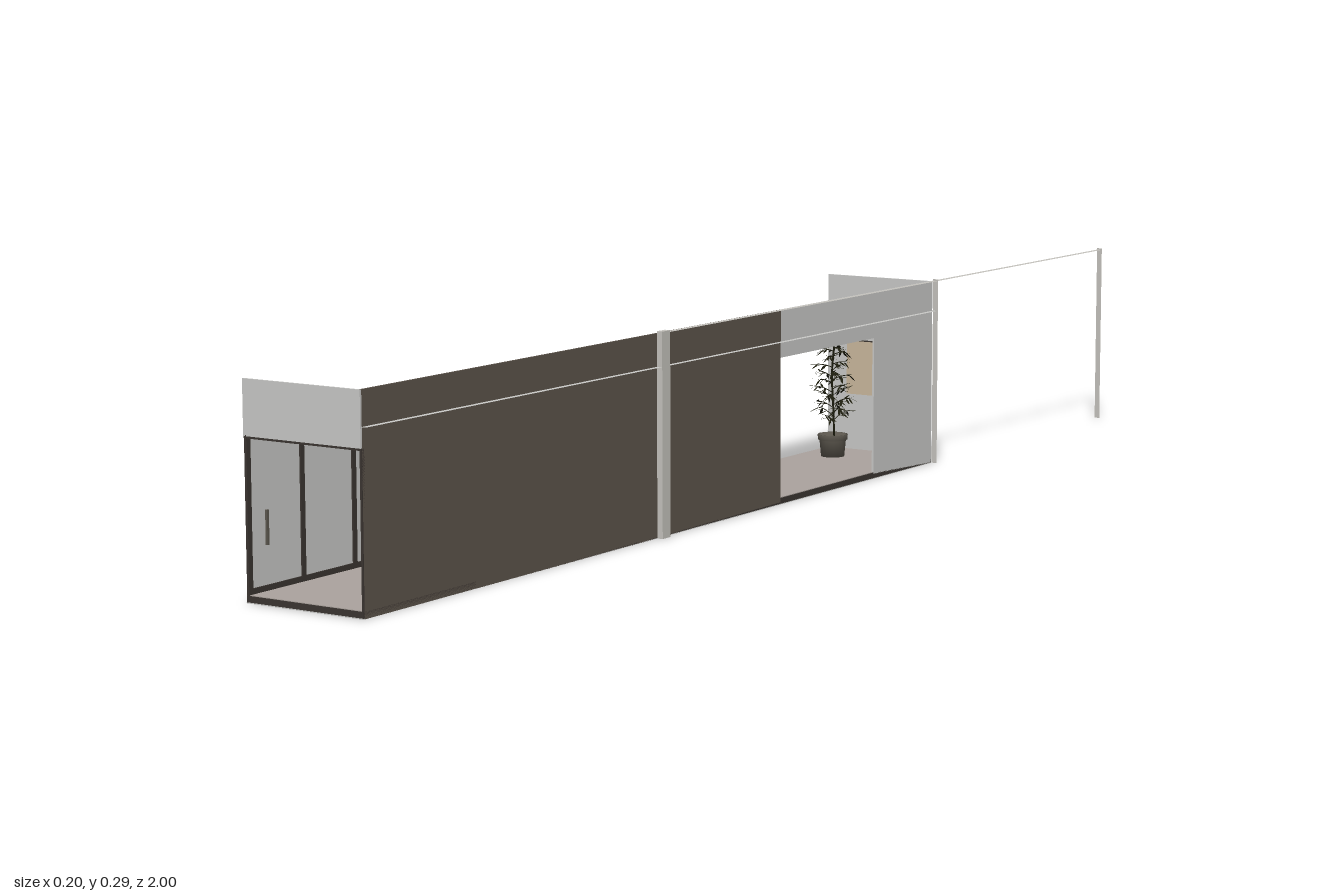
import * as THREE from 'three';
import { mergeGeometries } from 'three/addons/utils/BufferGeometryUtils.js';

const mat = (name, color, double = false) => {
  const m = new THREE.MeshStandardMaterial({ color, side: double ? THREE.DoubleSide : THREE.FrontSide });
  m.name = name;
  return m;
};

export function createModel() {
  const plaster = mat('light grey', 0xc8c8c6, true);
  const cladding = mat('dark brown cladding', 0x5d544b);
  const wood = mat('interior wood', 0x8b6b4d);
  const dark = mat('dark frame', 0x3b3531);
  const flooring = mat('floor beige', 0xaaa29d);
  const metal = mat('pale metal', 0xc4c2bc, true);
  const canvas = mat('picture beige', 0xc9b79c);
  const leafMat = mat('leaf olive', 0x1c1c0d, true);
  const potMat = mat('pot grey brown', 0x5c574e, true);
  const stone = mat('picture grey', 0xaaa9a6);

  const model = new THREE.Group();
  const add = (name, geo, material, parent = model) => {
    const mesh = new THREE.Mesh(geo, material);
    mesh.name = name;
    parent.add(mesh);
    return mesh;
  };
  // box given by its limits on each axis
  const box = (name, material, x0, x1, y0, y1, z0, z1, parent = model) => {
    const mesh = add(name, new THREE.BoxGeometry(x1 - x0, y1 - y0, z1 - z0), material, parent);
    mesh.position.set((x0 + x1) / 2, (y0 + y1) / 2, (z0 + z1) / 2);
    return mesh;
  };

  const L = -0.1, R = 0.09, T = 0.003, H = 0.29, BACK = -0.43;

  // floor slab, its finish and the underside
  box('floorSlab', dark, L, R, 0.001, 0.0095, BACK, 0.999);
  box('floorFinish', flooring, L + 0.001, R - 0.001, 0.0095, 0.0105, BACK, 0.998);
  box('underside', plaster, L, R, 0, 0.001, BACK, 1);

  // roof deck, slightly proud of the walls, and the ceiling below it
  const deck = add('roofDeck', new THREE.PlaneGeometry(0.198, 1.438), plaster);
  deck.rotation.x = -Math.PI / 2;
  deck.position.set(-0.001, 0.243, 0.28);
  const ceiling = add('ceiling', new THREE.PlaneGeometry(R - L - 0.002, 1.428), plaster);
  ceiling.rotation.x = Math.PI / 2;
  ceiling.position.set((L + R) / 2, 0.219, 0.285);
  for (let i = 0; i < 10; i++) {
    const lamp = add('ceilingLight', new THREE.CylinderGeometry(0.004, 0.004, 0.002, 12), dark);
    lamp.position.set(i % 2 ? 0.03 : -0.04, 0.218, -0.3 + Math.floor(i / 2) * 0.27);
  }

  // end walls
  box('backWall', plaster, L, R, 0, H, BACK, BACK + T);
  box('frontFascia', plaster, L, R, 0.216, H, 1 - T, 1);

  // side wall with a through opening
  box('claddingWall', cladding, R - T, R, 0, H, 0.02, 1 - T);
  box('openingHeader', plaster, R - T, R, 0.219, H, -0.25, 0.02);
  box('sidePier', plaster, R - T, R, 0, H, BACK + T, -0.25);

  // opposite wall, open towards the back
  box('farWall', plaster, L, L + T, 0, 0.242, 0.136, 1 - T);

  // interior wood panels with dark dividers, and frames on the far wall
  box('woodLining', wood, R - T - 0.002, R - T, 0.01, 0.218, 0.021, 0.995);
  for (let i = 0; i < 10; i++) {
    const z = 0.095 + i * 0.0945;
    box('panelDivider', dark, R - 0.007, R - 0.005, 0.01, 0.218, z - 0.003, z + 0.003);
  }
  for (let i = 0; i < 9; i++) {
    const z = 0.152 + i * 0.1055;
    box('wallMullion', dark, L + T, L + T + 0.002, 0.01, 0.218, z - 0.004, z + 0.004);
  }
  box('skirting', dark, L + T, L + T + 0.002, 0.0105, 0.018, 0.136, 0.995);

  // front opening frame
  box('frameHead', dark, L, R, 0.213, 0.217, 0.993, 0.999);
  box('frameJamb', dark, L, L + 0.003, 0.001, 0.216, 0.993, 0.9985);
  box('frameJamb', dark, R - 0.003, R, 0.001, 0.216, 0.993, 0.9985);
  box('doorHandle', potMat, L + 0.003, L + 0.006, 0.07, 0.116, 0.96, 0.964);
  box('doorHandle', dark, R - 0.007, R - 0.004, 0.08, 0.106, 0.96, 0.964);

  // picture on the back wall
  const picture = new THREE.Group();
  picture.name = 'picture';
  model.add(picture);
  const pz = BACK + T;
  box('pictureCanvas', canvas, -0.063, 0.053, 0.1, 0.187, pz, pz + 0.003, picture);
  box('pictureTopEdge', dark, -0.063, 0.054, 0.186, 0.1875, pz, pz + 0.004, picture);
  box('pictureSideEdge', dark, 0.0525, 0.054, 0.097, 0.187, pz, pz + 0.004, picture);
  const hill = new THREE.Shape();
  hill.moveTo(0.007, 0.1);
  hill.quadraticCurveTo(0.014, 0.113, 0.025, 0.112);
  hill.quadraticCurveTo(0.037, 0.11, 0.044, 0.1);
  add('paintedHill', new THREE.ShapeGeometry(hill), stone, picture).position.z = pz + 0.0035;

  // posts and the long overhead rail that runs out to a lone pole
  box('sidePost', metal, R, 0.099, 0, 0.293, 0.325, 0.345);
  [[-0.999, 'endPole'], [BACK - 0.002, 'cornerPost']].forEach(([z, name]) => {
    const post = add(name, new THREE.PlaneGeometry(0.009, 0.293), metal);
    post.position.set(0.0945, 0.1465, z);
  });
  const rail = add('overheadRail', new THREE.PlaneGeometry(0.009, 1.345), metal);
  rail.rotation.x = -Math.PI / 2;
  rail.position.set(0.0945, 0.2905, -0.3275);

  // potted plant
  const plant = new THREE.Group();
  plant.name = 'plant';
  plant.position.set(-0.044, 0.0105, -0.35);
  model.add(plant);
  const profile = [[0, 0], [0.0185, 0], [0.021, 0.026], [0.0235, 0.027], [0.024, 0.035], [0.022, 0.035], [0.021, 0.031], [0, 0.031]];
  add('pot', new THREE.LatheGeometry(profile.map(([x, y]) => new THREE.Vector2(x, y)), 20), potMat, plant);

  let seed = 7;
  const rnd = () => (seed = (seed * 16807) % 2147483647) / 2147483647;
  const leafShape = new THREE.Shape();
  leafShape.moveTo(0, 0);
  leafShape.quadraticCurveTo(0.0042, 0.006, 0, 0.016);
  leafShape.quadraticCurveTo(-0.0042, 0.006, 0, 0);
  const leafGeo = new THREE.ShapeGeometry(leafShape, 3);
  const stems = [], leaves = [];
  const dummy = new THREE.Object3D();
  const leaf = (p, angle) => {
    dummy.position.copy(p);
    dummy.rotation.set(1.2 + rnd() * 1.3, angle, (rnd() - 0.5) * 0.8, 'YXZ');
    dummy.scale.setScalar(0.75 + rnd() * 0.4);
    dummy.updateMatrix();
    leaves.push(leafGeo.clone().applyMatrix4(dummy.matrix));
  };
  const trunk = new THREE.CatmullRomCurve3([[0.003, 0.03, 0], [0.002, 0.08, 0.002], [-0.003, 0.13, -0.002], [0.003, 0.183, 0]]
    .map(p => new THREE.Vector3(...p)));
  stems.push(new THREE.TubeGeometry(trunk, 12, 0.0016, 5));
  for (let i = 0; i < 26; i++) {
    const t = 0.15 + 0.85 * i / 26, a = i * 2.4;
    const start = trunk.getPoint(t);
    const reach = 0.012 + 0.024 * Math.sin(Math.PI * Math.min(1, 0.2 + t * 0.72));
    const rise = 0.016 * (1.1 - t);
    const end = start.clone().add(new THREE.Vector3(Math.sin(a) * reach * 0.8, rise, Math.cos(a) * reach * 0.8));
    const mid = start.clone().lerp(end, 0.5).setY(end.y);
    const branch = new THREE.QuadraticBezierCurve3(start, mid, end);
    stems.push(new THREE.TubeGeometry(branch, 4, 0.0007, 4));
    for (let k = 0; k < 8; k++) leaf(branch.getPoint(0.35 + 0.65 * k / 7), a + (k % 2 ? 1 : -1) * rnd() * 1.5);
  }
  for (let k = 0; k < 8; k++) leaf(trunk.getPoint(1), k * 0.8);
  add('stems', mergeGeometries(stems), leafMat, plant);
  add('leaves', mergeGeometries(leaves), leafMat, plant);

  return model;
}
